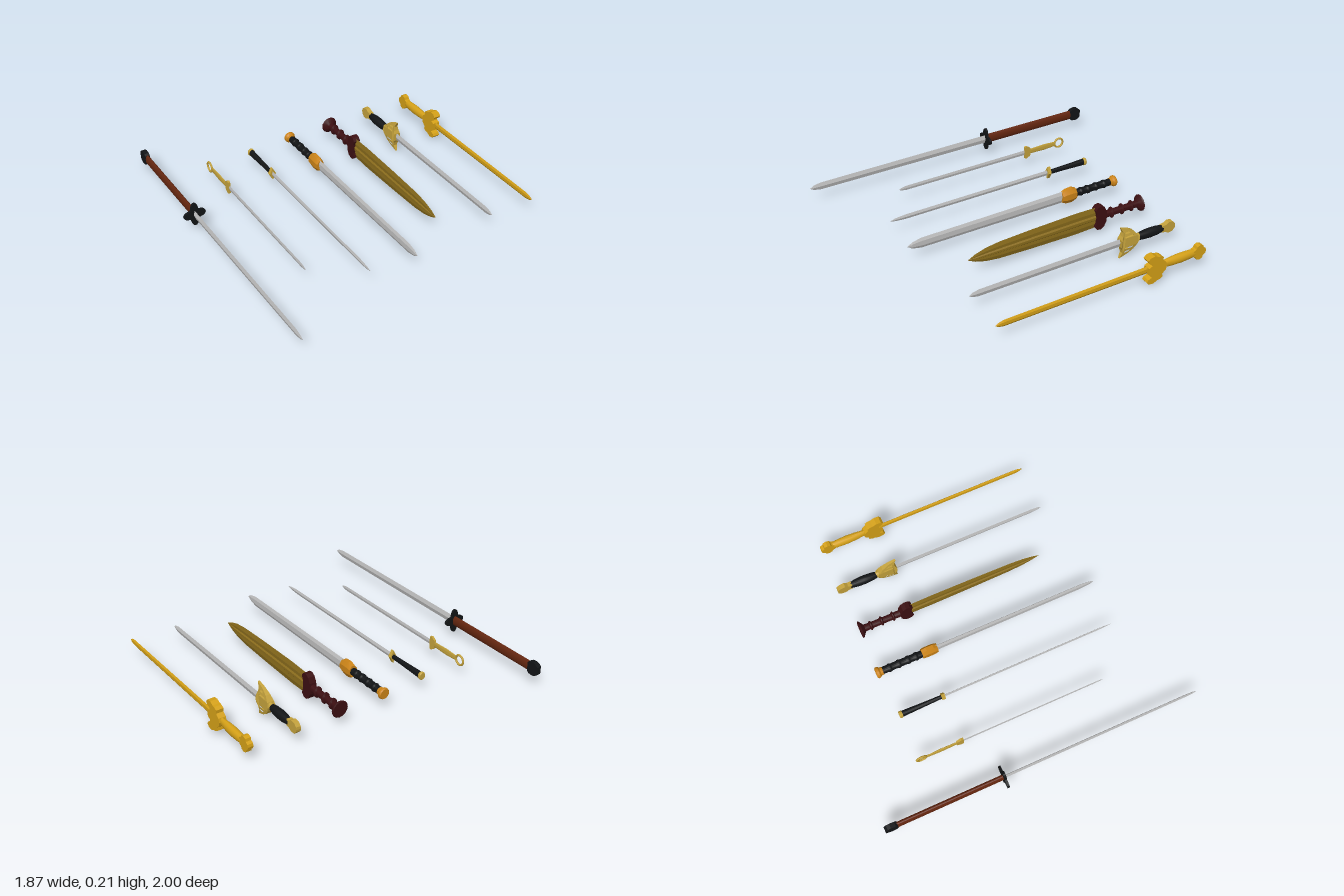
import * as THREE from 'three';
import { toCreasedNormals } from 'three/addons/utils/BufferGeometryUtils.js';

const mat = (name, color) => {
  const m = new THREE.MeshStandardMaterial({ color });
  m.name = name;
  return m;
};

// Regular cross-section with n corners
const ngon = (n, turn = 0) => Array.from({ length: n }, (_, i) => {
  const a = (i / n) * Math.PI * 2 + turn;
  return [Math.cos(a), Math.sin(a)];
});
const ROUND = ngon(16);
const OCT = ngon(8, Math.PI / 8);
const DIAMOND = [[1, 0], [0, 1], [-1, 0], [0, -1]];
const HEX = [[1, -0.45], [1, 0.45], [0, 1], [-1, 0.45], [-1, -0.45], [0, -1]];
// Leaf blade section with a raised rib and grooves
const RIBBED = [[1, -0.12], [1, 0.12], [0.45, 0.24], [0.55, 0.55], [0, 1], [-0.55, 0.55], [-0.45, 0.24],
  [-1, 0.12], [-1, -0.12], [-0.45, -0.24], [-0.55, -0.55], [0, -1], [0.55, -0.55], [0.45, -0.24]];

// Loft a section along z; stations are [z, halfWidthX, halfHeightY]
function loft(section, stations, crease = 0.5) {
  const n = section.length, pos = [], idx = [];
  for (const [z, sx, sy] of stations) for (const [x, y] of section) pos.push(x * sx, y * sy, z);
  for (let i = 0; i < stations.length - 1; i++) {
    for (let j = 0; j < n; j++) {
      const a = i * n + j, b = i * n + (j + 1) % n;
      idx.push(a, b, b + n, a, b + n, a + n);
    }
  }
  const last = stations.length - 1;
  pos.push(0, 0, stations[0][0], 0, 0, stations[last][0]);
  const c = n * stations.length;
  for (let j = 0; j < n; j++) {
    const k = (j + 1) % n;
    idx.push(c, k, j, c + 1, last * n + j, last * n + k);
  }
  const g = new THREE.BufferGeometry();
  g.setAttribute('position', new THREE.Float32BufferAttribute(pos, 3));
  g.setIndex(idx);
  return toCreasedNormals(g, crease);
}

// Plate cut in the z-y plane from its upper half outline, mirrored below, thick along x
function plate(half, thick, holes = []) {
  const low = half.filter(p => p[1] > 0).reverse().map(([z, y]) => [z, -y]);
  const shape = new THREE.Shape([...half, ...low].map(p => new THREE.Vector2(...p)));
  for (const h of holes) {
    for (const s of [1, -1]) shape.holes.push(new THREE.Path(h.map(([z, y]) => new THREE.Vector2(z, y * s))));
  }
  const g = new THREE.ExtrudeGeometry(shape, { depth: thick, bevelEnabled: false });
  return g.translate(0, 0, -thick / 2).rotateY(-Math.PI / 2);
}

export function createModel() {
  const steel = mat('steel', 0xc0c0c0), black = mat('black', 0x121416), brown = mat('brown wood', 0x64260f);
  const gold = mat('gold', 0xd4a017), orange = mat('orange gold', 0xcc8418), maroon = mat('maroon wood', 0x3c0f12);
  const bronze = mat('bronze', 0x8a6c1c), brass = mat('pale brass', 0xc4a23c);
  const model = new THREE.Group();

  const sword = (name, x, parts) => {
    const g = new THREE.Group();
    g.name = name;
    g.position.set(x, 0.11, 0);
    for (const [part, geo, m] of parts) {
      const mesh = new THREE.Mesh(geo, m);
      mesh.name = part;
      g.add(mesh);
    }
    model.add(g);
  };
  const blade = (z0, z1, t, h, point, section = DIAMOND) => loft(section, [
    [z0, t, h], [z1 - point, t * 0.85, h * 0.88], [z1 - point * 0.35, t * 0.6, h * 0.55], [z1, 0.0005, 0.001]], 0.1);

  // Long-handled sword with a four-lobed guard
  const lobes = new THREE.Shape(Array.from({ length: 48 }, (_, i) => {
    const a = (i / 48) * Math.PI * 2, r = 0.057 + 0.017 * Math.cos(4 * a);
    return new THREE.Vector2(r * Math.cos(a) * 0.95, r * Math.sin(a) * 1.05);
  }));
  sword('longHandledSword', -0.865, [
    ['blade', blade(-0.25, 1, 0.008, 0.028, 0.07), steel],
    ['guard', new THREE.ExtrudeGeometry(lobes, { depth: 0.014, bevelEnabled: false }).translate(0, 0, -0.262), black],
    ['handle', loft(ROUND, [[-0.94, 0.015, 0.032], [-0.26, 0.015, 0.032]]), brown],
    ['pommel', plate([[-1, 0], [-1, 0.024], [-0.985, 0.038], [-0.965, 0.044], [-0.935, 0.04], [-0.922, 0.03], [-0.922, 0]], 0.03), black],
  ]);

  // Slim sword with a ring pommel
  sword('ringSword', -0.57, [
    ['blade', blade(-0.39, 0.53, 0.004, 0.017, 0.05), steel],
    ['guard', plate([[-0.425, 0], [-0.42, 0.028], [-0.395, 0.045], [-0.38, 0.04], [-0.378, 0]], 0.014), brass],
    ['grip', loft(OCT, [[-0.615, 0.005, 0.016], [-0.53, 0.008, 0.021], [-0.41, 0.006, 0.017]]), brass],
    ['ring', new THREE.TorusGeometry(0.031, 0.0065, 8, 28).rotateY(Math.PI / 2).translate(0, 0, -0.645), brass],
  ]);

  // Narrow sword with a small diamond guard
  sword('narrowSword', -0.275, [
    ['blade', blade(-0.38, 0.73, 0.006, 0.018, 0.1), steel],
    ['guard', loft(DIAMOND, [[-0.392, 0.022, 0.042], [-0.37, 0.022, 0.042]]), brass],
    ['grip', loft(ROUND, [[-0.645, 0.018, 0.022], [-0.5, 0.014, 0.017], [-0.39, 0.011, 0.015]]), black],
    ['pommel', loft(ROUND, [[-0.662, 0.019, 0.022], [-0.655, 0.022, 0.026], [-0.642, 0.02, 0.024]]), brass],
  ]);

  // Broad straight sword with a ribbed grip
  const ribs = [[-0.655, 0.022, 0.023]];
  for (const z of [-0.6, -0.54, -0.48, -0.43]) {
    ribs.push([z - 0.012, 0.022, 0.023], [z - 0.004, 0.026, 0.027], [z + 0.004, 0.026, 0.027], [z + 0.012, 0.022, 0.023]);
  }
  ribs.push([-0.38, 0.022, 0.023]);
  sword('broadSword', 0.02, [
    ['blade', blade(-0.3, 0.76, 0.009, 0.039, 0.09, HEX), steel],
    ['guard', loft(OCT, [[-0.39, 0.029, 0.04], [-0.36, 0.03, 0.054], [-0.315, 0.03, 0.05], [-0.29, 0.026, 0.036]], 0.3), orange],
    ['grip', loft(ROUND, ribs), black],
    ['pommel', loft(ROUND, [[-0.688, 0.03, 0.03], [-0.682, 0.035, 0.035], [-0.67, 0.035, 0.035], [-0.66, 0.026, 0.026], [-0.645, 0.025, 0.025]]), orange],
  ]);

  // Leaf-bladed bronze sword with a turned wooden hilt
  const turned = [[-0.66, 0.024, 0.024]];
  for (const z of [-0.6, -0.53, -0.455]) {
    turned.push([z - 0.01, 0.02, 0.022], [z - 0.003, 0.028, 0.036], [z + 0.003, 0.028, 0.036], [z + 0.01, 0.02, 0.022]);
  }
  turned.push([-0.39, 0.022, 0.026]);
  sword('leafSword', 0.315, [
    ['blade', loft(RIBBED, [[-0.34, 0.014, 0.07], [-0.2, 0.014, 0.074], [0.1, 0.014, 0.067], [0.32, 0.013, 0.058],
      [0.41, 0.011, 0.046], [0.48, 0.007, 0.025], [0.525, 0.001, 0.001]], 0.1), bronze],
    ['guard', plate([[-0.41, 0], [-0.408, 0.035], [-0.392, 0.068], [-0.37, 0.082], [-0.345, 0.078], [-0.328, 0.058], [-0.338, 0.03], [-0.338, 0]], 0.044), maroon],
    ['grip', loft(ROUND, turned), maroon],
    ['pommel', loft(ROUND, [[-0.672, 0.046, 0.046], [-0.668, 0.053, 0.053], [-0.66, 0.05, 0.05], [-0.64, 0.022, 0.024]]), maroon],
  ]);

  // Steel sword with a pierced wing guard that thins toward its tips
  const wing = plate([[-0.435, 0], [-0.425, 0.028], [-0.4, 0.06], [-0.36, 0.086], [-0.308, 0.105], [-0.325, 0.07],
    [-0.32, 0.045], [-0.31, 0.025], [-0.31, 0]], 0.05,
  [[[-0.395, 0.034], [-0.335, 0.033], [-0.337, 0.042], [-0.388, 0.044]], [[-0.375, 0.058], [-0.337, 0.06], [-0.336, 0.07], [-0.362, 0.07]]]);
  const wp = wing.attributes.position;
  for (let i = 0; i < wp.count; i++) wp.setX(i, wp.getX(i) * (1.08 - Math.abs(wp.getY(i)) / 0.125));
  wing.computeVertexNormals();
  sword('wingGuardSword', 0.61, [
    ['blade', blade(-0.32, 0.68, 0.008, 0.026, 0.06), steel],
    ['guard', wing, brass],
    ['collar', loft(ROUND, [[-0.445, 0.018, 0.024], [-0.415, 0.021, 0.027]]), brass],
    ['grip', loft(ROUND, [[-0.615, 0.017, 0.022], [-0.57, 0.025, 0.029], [-0.52, 0.027, 0.031], [-0.47, 0.024, 0.028], [-0.435, 0.017, 0.022]]), black],
    ['pommel', plate([[-0.7, 0], [-0.698, 0.015], [-0.68, 0.034], [-0.65, 0.037], [-0.63, 0.024], [-0.605, 0.022], [-0.605, 0]], 0.03), brass],
  ]);

  // All-gold sword with a cloud-shaped guard
  sword('goldenSword', 0.905, [
    ['blade', blade(-0.3, 0.685, 0.008, 0.024, 0.05, HEX), gold],
    ['guard', plate([[-0.41, 0], [-0.403, 0.025], [-0.38, 0.045], [-0.382, 0.066], [-0.362, 0.078], [-0.345, 0.08], [-0.32, 0.093],
      [-0.29, 0.089], [-0.276, 0.072], [-0.285, 0.057], [-0.308, 0.048], [-0.308, 0.03], [-0.285, 0.02], [-0.285, 0]], 0.046), gold],
    ['grip', loft(ROUND, [[-0.64, 0.014, 0.022], [-0.59, 0.022, 0.028], [-0.52, 0.025, 0.031], [-0.46, 0.022, 0.029], [-0.4, 0.015, 0.024]]), gold],
    ['pommel', plate([[-0.692, 0], [-0.688, 0.016], [-0.672, 0.026], [-0.668, 0.042], [-0.648, 0.05], [-0.628, 0.043], [-0.622, 0.028], [-0.605, 0.02], [-0.605, 0]], 0.034), gold],
  ]);

  return model;
}
